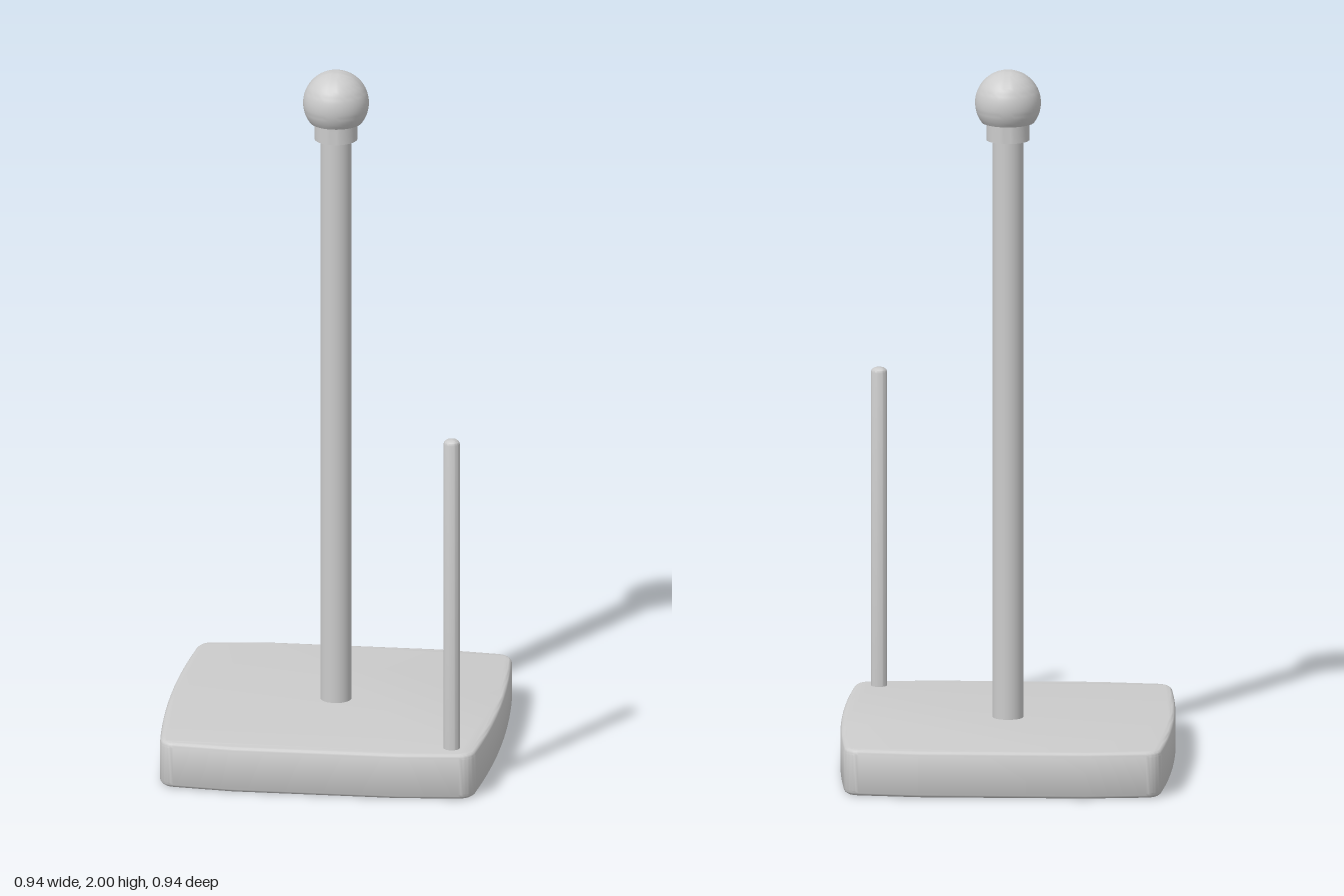
import * as THREE from 'three';
import { toCreasedNormals } from 'three/addons/utils/BufferGeometryUtils.js';

const material = new THREE.MeshStandardMaterial({ color: 0xcccccc });

function add(group, name, geometry, x = 0, y = 0, z = 0) {
  const mesh = new THREE.Mesh(geometry, material);
  mesh.name = name;
  mesh.position.set(x, y, z);
  group.add(mesh);
}

function lathe(points, segments = 40) {
  const profile = points.map(([r, y]) => new THREE.Vector2(r, y));
  return toCreasedNormals(new THREE.LatheGeometry(profile, segments), 0.6);
}

// Bowed square outline: straight-cut front and back, curved sides, rounded corners
function baseOutline() {
  const s = new THREE.Shape();
  s.moveTo(-0.235, -0.47);
  s.lineTo(0.235, -0.47);
  s.lineTo(0.405, -0.452);
  s.quadraticCurveTo(0.442, -0.447, 0.449, -0.405);
  s.quadraticCurveTo(0.491, 0, 0.449, 0.405);
  s.quadraticCurveTo(0.442, 0.447, 0.405, 0.452);
  s.lineTo(0.235, 0.47);
  s.lineTo(-0.235, 0.47);
  s.lineTo(-0.405, 0.452);
  s.quadraticCurveTo(-0.442, 0.447, -0.449, 0.405);
  s.quadraticCurveTo(-0.491, 0, -0.449, -0.405);
  s.quadraticCurveTo(-0.442, -0.447, -0.405, -0.452);
  s.closePath();
  return s;
}

export function createModel() {
  const group = new THREE.Group();
  group.name = 'rollHolder';

  // Base slab with softened rims
  const bevel = 0.015, height = 0.133;
  const slab = new THREE.ExtrudeGeometry(baseOutline(), {
    depth: height - 2 * bevel, bevelEnabled: true, bevelSize: bevel,
    bevelThickness: bevel, bevelOffset: -bevel, bevelSegments: 4, curveSegments: 10,
  });
  slab.rotateX(-Math.PI / 2);
  add(group, 'base', toCreasedNormals(slab, 0.6), 0, bevel, 0);

  // Central post
  add(group, 'post', new THREE.CylinderGeometry(0.044, 0.044, 1.7, 40), 0, 0.97, 0);

  // Collar under the knob
  add(group, 'collar', lathe([[0, 1.8], [0.061, 1.8], [0.061, 1.86], [0, 1.86]]));

  // Round knob with a flat underside
  const radius = 0.093, centre = 1.907, steps = 24;
  const start = -Math.asin((centre - 1.851) / radius);
  const knob = [[0, 1.851]];
  for (let i = 0; i <= steps; i++) {
    const a = start + (Math.PI / 2 - start) * i / steps;
    knob.push([i === steps ? 0 : radius * Math.cos(a), centre + radius * Math.sin(a)]);
  }
  add(group, 'knob', lathe(knob, 48));

  // Slim side peg with an eased tip
  add(group, 'sidePeg', lathe([
    [0, 0.12], [0.023, 0.12], [0.023, 1.038], [0.021, 1.045], [0.015, 1.05], [0, 1.052],
  ], 28), 0.378, 0, 0.39);

  return group;
}
